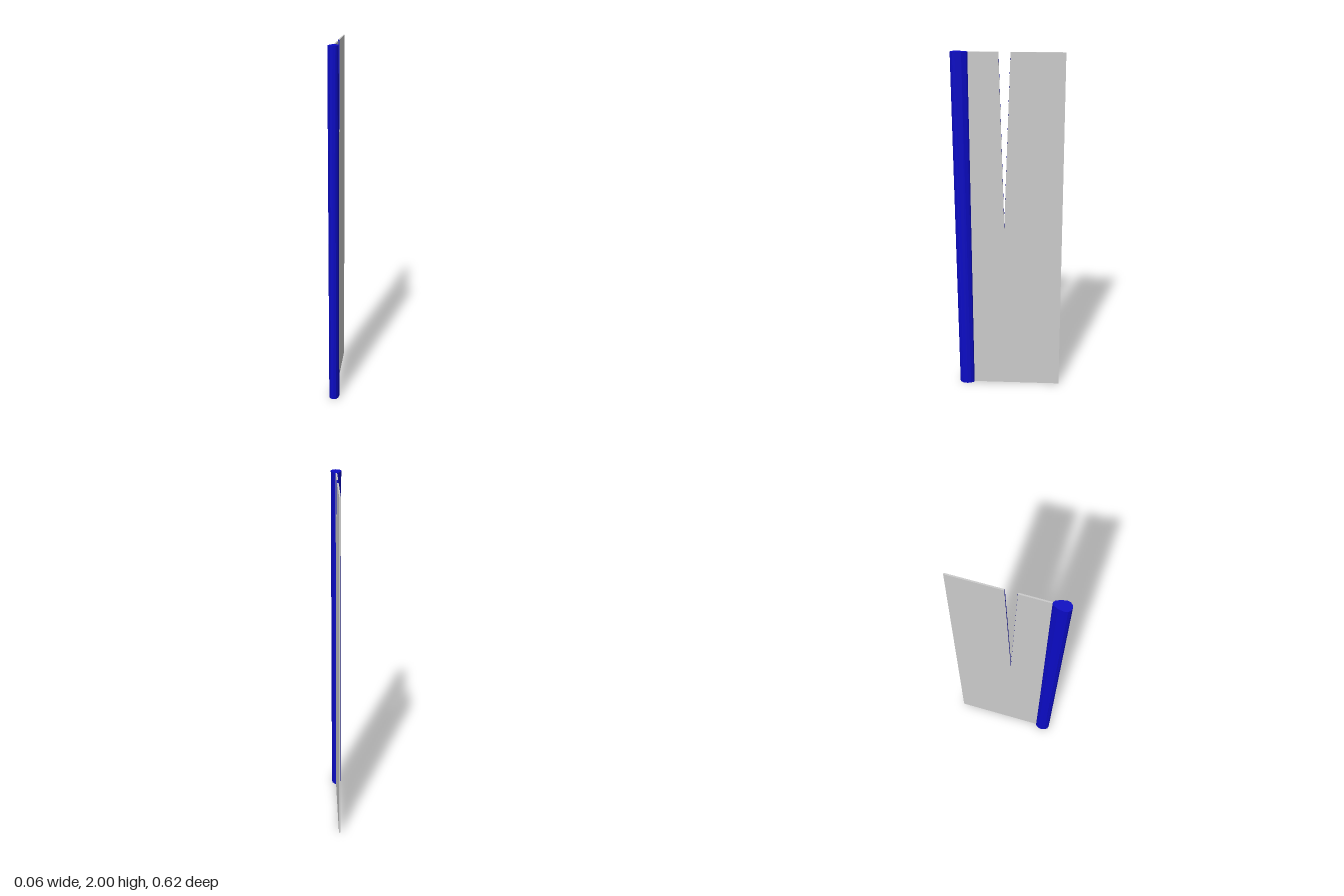
import * as THREE from 'three';

const blue = new THREE.MeshStandardMaterial({ color: 0x0b0bc4, flatShading: true, side: THREE.DoubleSide });
const grey = new THREE.MeshStandardMaterial({ color: 0xcccccc, flatShading: true });

const SEGMENTS = 12;
const HALF_WIDTH = 0.029;
const HALF_THICK = 0.004;

// Closed section: round nose towards +z, tail towards -z; taper > 1 sharpens the tail
function section(y, centre, nose, tail, taper) {
  const points = [];
  for (let i = 0; i < SEGMENTS; i++) {
    const t = (i / SEGMENTS) * Math.PI * 2;
    const s = Math.sin(t), c = Math.cos(t);
    const back = c < -1e-6;
    const x = HALF_WIDTH * Math.sign(s) * Math.pow(Math.abs(s), back ? taper : 1);
    points.push([x, y, centre + c * (back ? tail : nose)]);
  }
  return points;
}

// Skin between two sections, closed with flat caps
function loft(bottom, top) {
  const position = [];
  const tri = (a, b, c) => position.push(...a, ...b, ...c);
  for (let i = 0; i < SEGMENTS; i++) {
    const j = (i + 1) % SEGMENTS;
    tri(bottom[i], bottom[j], top[j]);
    tri(bottom[i], top[j], top[i]);
    tri([0, bottom[0][1], 0.245], bottom[j], bottom[i]);
    tri([0, top[0][1], 0.265], top[i], top[j]);
  }
  const geometry = new THREE.BufferGeometry();
  geometry.setAttribute('position', new THREE.Float32BufferAttribute(position, 3));
  geometry.computeVertexNormals();
  return geometry;
}

// Flat plate from a [z, y] outline, centred on x = 0
function plate(outline, halfThick) {
  const shape = new THREE.Shape(outline.map(([z, y]) => new THREE.Vector2(-z, y)));
  const geometry = new THREE.ExtrudeGeometry(shape, { depth: halfThick * 2, bevelEnabled: false });
  return geometry.rotateY(Math.PI / 2).translate(-halfThick, 0, 0);
}

export function createModel() {
  const model = new THREE.Group();
  const add = (name, geometry, material) => {
    const mesh = new THREE.Mesh(geometry, material);
    mesh.name = name;
    model.add(mesh);
  };

  // Leading edge: oval at the foot, teardrop at the head
  add('leadingEdge', loft(
    section(0, 0.245, 0.045, 0.043, 1),
    section(2, 0.28, 0.03, 0.067, 1.25),
  ), blue);

  // Thin panel with a V-shaped slot cut down from the top
  const slotFront = [0.05, 2], slotTip = [0.02, 1], slotBack = [-0.015, 2];
  add('panel', plate([
    [0.205, 0], [-0.31, 0], [-0.31, 2], slotBack, slotTip, slotFront, [0.215, 2],
  ], HALF_THICK), grey);

  // Coloured lining on both walls of the slot
  for (const [name, edge, inset] of [['slotFrontWall', slotFront, -0.0005], ['slotBackWall', slotBack, 0.0005]]) {
    const height = Math.hypot(edge[0] - slotTip[0], edge[1] - slotTip[1]);
    const wall = new THREE.PlaneGeometry(HALF_THICK * 2, height);
    wall.rotateX(Math.atan2(edge[0] - slotTip[0], edge[1] - slotTip[1]));
    wall.translate(0, (edge[1] + slotTip[1]) / 2, (edge[0] + slotTip[0]) / 2 + inset);
    add(name, wall, blue);
  }

  return model;
}
